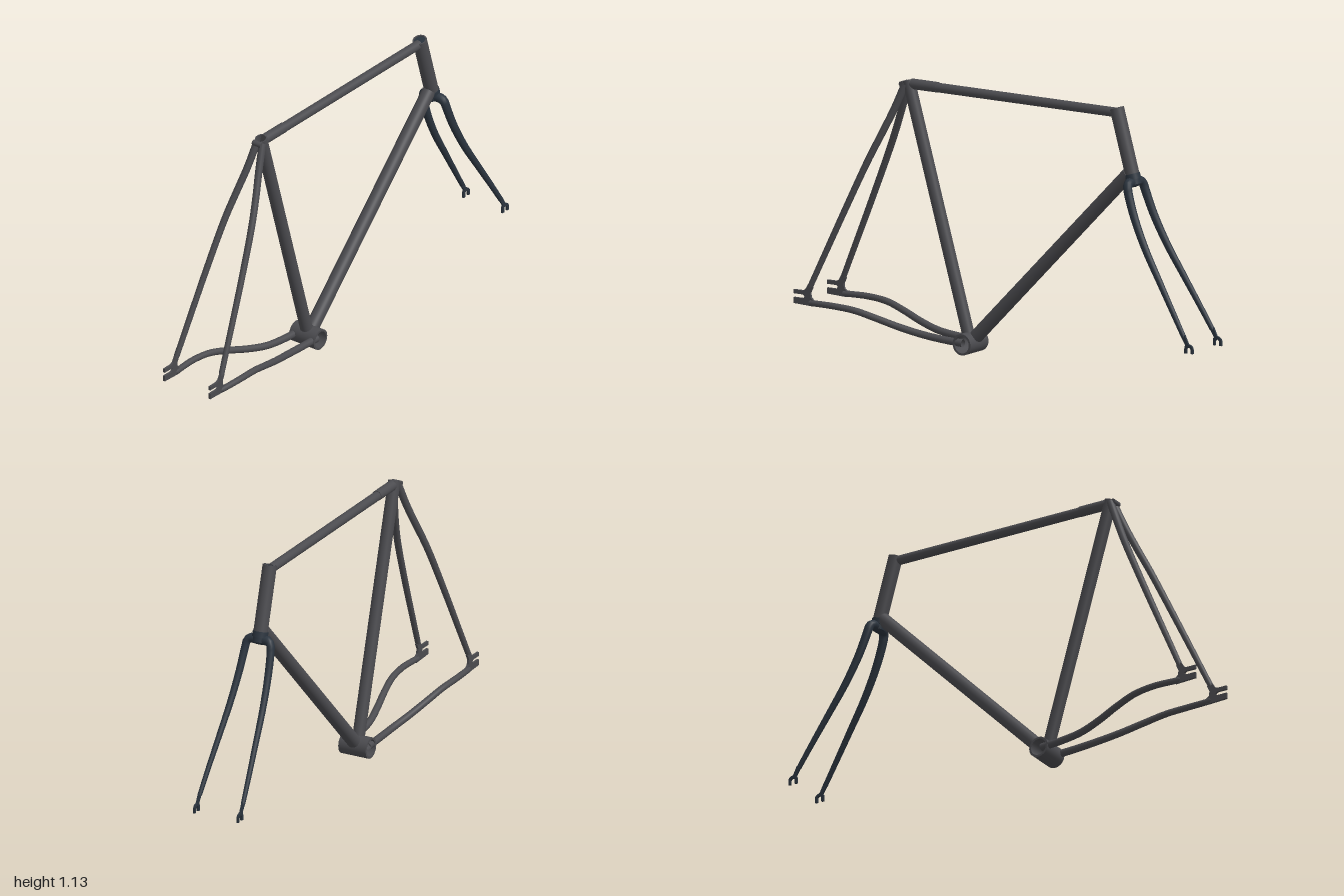
import * as THREE from 'three';

const V = (x, y, z = 0) => new THREE.Vector3(x, y, z);

export function createModel() {
  const root = new THREE.Group();
  root.name = 'bicycleFrame';
  const frameMat = new THREE.MeshStandardMaterial({ color: 0x4b4b4f, side: THREE.DoubleSide });
  const forkMat = new THREE.MeshStandardMaterial({ color: 0x2b343e, side: THREE.DoubleSide });

  function add(name, geometry, material = frameMat) {
    const mesh = new THREE.Mesh(geometry, material);
    mesh.name = name;
    root.add(mesh);
    return mesh;
  }

  // straight tube between two points
  function tube(name, a, b, r, material, open = false) {
    const geo = new THREE.CylinderGeometry(r, r, a.distanceTo(b), 32, 1, open);
    const mesh = add(name, geo, material);
    mesh.position.copy(a).add(b).multiplyScalar(0.5);
    mesh.quaternion.setFromUnitVectors(V(0, 1, 0), b.clone().sub(a).normalize());
    return mesh;
  }

  // hollow tube with wall thickness
  function pipe(name, a, b, r, inner, material) {
    const h = a.distanceTo(b) / 2;
    // doubled corner points keep the rims sharp
    const profile = [[inner, -h], [r, -h], [r, -h], [r, h], [r, h], [inner, h], [inner, h], [inner, -h]]
      .map(p => new THREE.Vector2(...p));
    const mesh = add(name, new THREE.LatheGeometry(profile, 32), material);
    mesh.position.copy(a).add(b).multiplyScalar(0.5);
    mesh.quaternion.setFromUnitVectors(V(0, 1, 0), b.clone().sub(a).normalize());
    return mesh;
  }

  // bent tube tapering from r0 to r1, closed at its far end, optionally flattened in z
  function bentTube(name, points, r0, r1, material, flat = 1) {
    const n = 56, sides = 16;
    const curve = new THREE.CatmullRomCurve3(points);
    const geo = new THREE.TubeGeometry(curve, n, 1, sides);
    const pos = geo.attributes.position, p = new THREE.Vector3();
    for (let i = 0; i <= n; i++) {
      const c = curve.getPointAt(i / n);
      const r = i === n ? 0.001 : THREE.MathUtils.lerp(r0, r1, i / n);
      for (let j = 0; j <= sides; j++) {
        const k = i * (sides + 1) + j;
        p.fromBufferAttribute(pos, k).sub(c).multiplyScalar(r);
        p.z *= flat;
        p.add(c);
        pos.setXYZ(k, p.x, p.y, p.z);
      }
    }
    geo.computeBoundingSphere();
    return add(name, geo, material);
  }

  // flat plate in the xy plane, centred on z
  function plate(name, shape, z, depth, material) {
    const geo = new THREE.ExtrudeGeometry(shape, { depth, bevelEnabled: false, curveSegments: 16 });
    geo.translate(0, 0, z - depth / 2);
    return add(name, geo, material);
  }

  // main triangle
  const seatTop = V(-0.508, 1.115), headTop = V(0.543, 1.12), headLow = V(0.622, 0.845);
  pipe('bottomBracketShell', V(-0.195, 0.045, -0.065), V(-0.195, 0.045, 0.065), 0.045, 0.036);
  pipe('seatTube', V(-0.208, 0.085), seatTop, 0.026, 0.021);
  tube('topTube', V(-0.49, 1.1), V(0.535, 1.1), 0.02);
  tube('topTubeSleeve', V(-0.49, 1.101), V(-0.36, 1.101), 0.022);
  tube('downTube', V(-0.166, 0.073), V(0.605, 0.85), 0.029);
  pipe('headTube', headLow, headTop, 0.03, 0.024);
  tube('steererTube', V(0.627, 0.83), V(0.544, 1.117), 0.024, forkMat);

  // seat clamp lug
  tube('seatBinder', V(-0.53, 1.098, -0.022), V(-0.53, 1.098, 0.022), 0.012);

  // rear dropout outline with a slot open to the back
  const rear = new THREE.Shape([
    [-1, 0.138], [-0.9, 0.134], [-0.893, 0.152], [-0.914, 0.17], [-0.917, 0.19], [-0.905, 0.215],
    [-0.928, 0.225], [-0.942, 0.202], [-0.955, 0.196], [-1, 0.196], [-1, 0.179], [-0.953, 0.179],
    [-0.945, 0.172], [-0.953, 0.163], [-1, 0.163],
  ].map(p => new THREE.Vector2(...p)));

  // fork tip: ring open at the bottom with a neck reaching up to the blade
  const tip = new THREE.Shape();
  const cx = 0.979, cy = 0.167;
  tip.moveTo(cx - 0.021, cy - 0.016);
  tip.lineTo(cx - 0.021, cy);
  tip.quadraticCurveTo(cx - 0.021, cy + 0.012, cx - 0.016, cy + 0.018);
  tip.lineTo(cx - 0.04, cy + 0.055);
  tip.lineTo(cx - 0.02, cy + 0.06);
  tip.lineTo(cx - 0.002, cy + 0.023);
  tip.quadraticCurveTo(cx + 0.021, cy + 0.019, cx + 0.021, cy);
  tip.lineTo(cx + 0.021, cy - 0.016);
  tip.lineTo(cx + 0.01, cy - 0.016);
  tip.lineTo(cx + 0.01, cy);
  tip.absarc(cx, cy, 0.01, 0, Math.PI, false);
  tip.lineTo(cx - 0.01, cy - 0.016);

  for (const s of [1, -1]) {
    const side = s > 0 ? 'left' : 'right';
    // seat stays, bowed outwards
    bentTube(side + 'SeatStay', [
      V(-0.515, 1.1, s * 0.014), V(-0.56, 0.99, s * 0.03), V(-0.605, 0.89, s * 0.05),
      V(-0.66, 0.775, s * 0.07), V(-0.76, 0.56, s * 0.092), V(-0.86, 0.345, s * 0.109),
      V(-0.925, 0.205, s * 0.12),
    ], 0.016, 0.012);
    // chain stays, S-curved
    bentTube(side + 'ChainStay', [
      V(-0.2, 0.048, s * 0.048), V(-0.3, 0.053, s * 0.05), V(-0.4, 0.064, s * 0.057),
      V(-0.5, 0.086, s * 0.077), V(-0.6, 0.115, s * 0.1), V(-0.7, 0.14, s * 0.118),
      V(-0.8, 0.148, s * 0.126), V(-0.87, 0.148, s * 0.124), V(-0.93, 0.147, s * 0.12),
    ], 0.016, 0.013);
    plate(side + 'RearDropout', rear, s * 0.12, 0.01);
    // fork blades, starting from the crown
    bentTube(side + 'ForkBlade', [
      V(0.63, 0.817, 0), V(0.631, 0.817, s * 0.042), V(0.636, 0.806, s * 0.055),
      V(0.643, 0.78, s * 0.06), V(0.68, 0.68, s * 0.068), V(0.74, 0.56, s * 0.077),
      V(0.82, 0.43, s * 0.087), V(0.9, 0.302, s * 0.097), V(0.958, 0.208, s * 0.103),
    ], 0.021, 0.011, forkMat, 0.8);
    plate(side + 'ForkTip', tip, s * 0.103, 0.009, forkMat);
  }

  // lower bearing race and crown seat
  tube('lowerRace', V(0.62, 0.851), V(0.627, 0.828), 0.033, forkMat);
  tube('crownSeat', V(0.625, 0.835), V(0.632, 0.808), 0.029, forkMat);
  return root;
}
